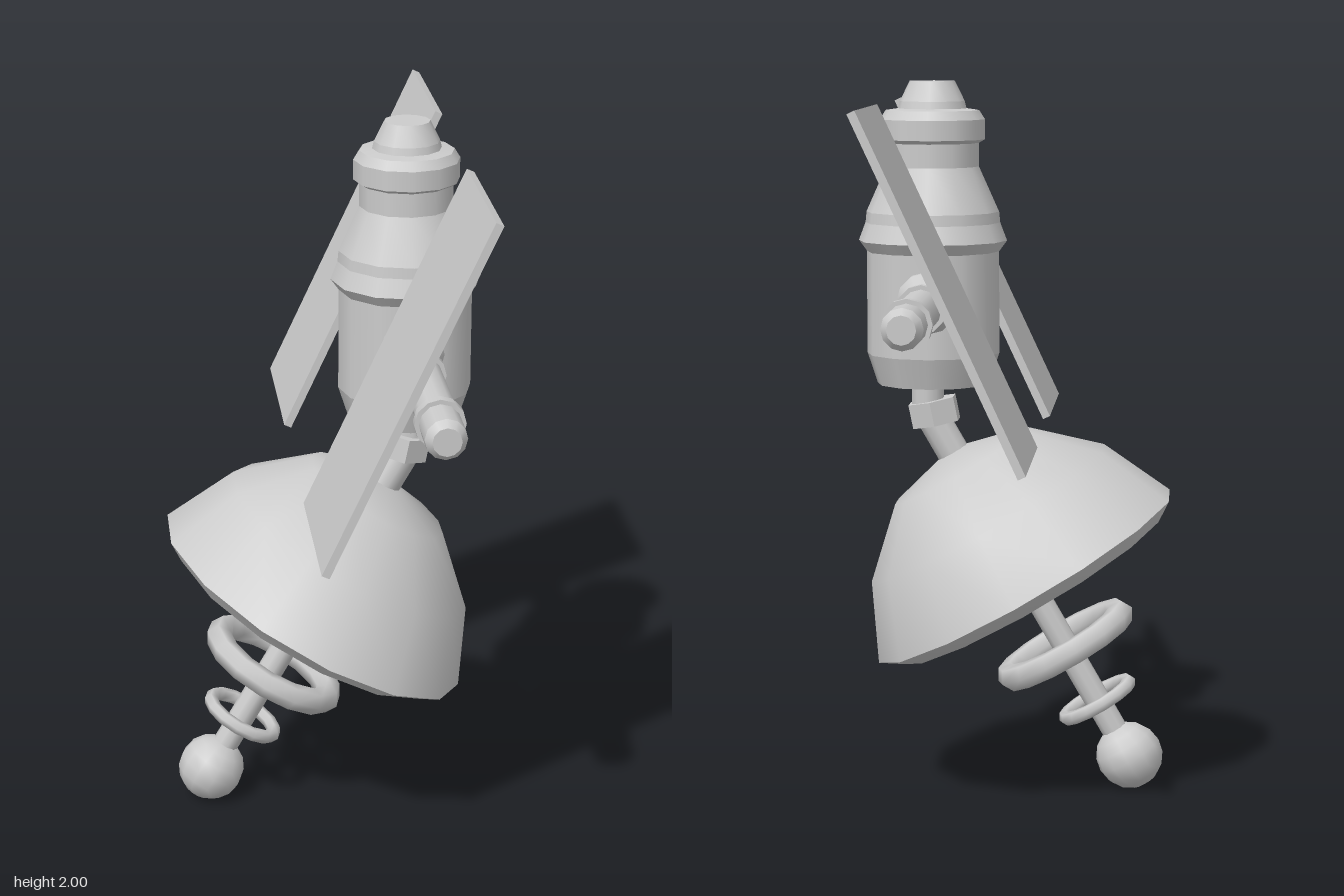
import * as THREE from 'three';
import { toCreasedNormals, mergeGeometries } from 'three/addons/utils/BufferGeometryUtils.js';

const grey = new THREE.MeshStandardMaterial({ color: 0xcccccc });

function part(name, geometry, parent) {
  const mesh = new THREE.Mesh(geometry, grey);
  mesh.name = name;
  parent.add(mesh);
  return mesh;
}

// Profile points are [radius, height], running so the outside lies to the right
function lathe(points, sides) {
  return new THREE.LatheGeometry(points.map(([r, y]) => new THREE.Vector2(r, y)), sides);
}

// Lathe that is smooth around but has a hard edge at every profile point
function bandedLathe(points, sides) {
  return mergeGeometries(points.slice(1).map((p, i) => lathe([points[i], p], sides)));
}

export function createModel() {
  const model = new THREE.Group();
  model.name = 'satellite';
  const axisX = 0.227;

  // Stepped body with flange, shoulder, neck ring and top cap
  part('body', bandedLathe([
    [0, 1.16], [0.157, 1.16], [0.185, 1.245], [0.185, 1.53], [0.207, 1.56],
    [0.188, 1.61], [0.185, 1.64], [0.129, 1.765], [0.129, 1.83], [0.146, 1.84],
    [0.146, 1.895], [0.13, 1.92], [0.095, 1.925], [0.09, 1.945], [0.063, 2], [0, 2],
  ], 12), model).position.x = axisX;

  // Arms with a flared root, two collars and a chamfered tip; a panel beside each
  for (const side of [1, -1]) {
    const name = side > 0 ? 'front' : 'back';
    const arm = new THREE.Group();
    arm.name = name + 'Arm';
    arm.position.set(axisX - 0.003, 1.403, 0);
    arm.rotation.x = side * Math.PI / 2;
    model.add(arm);
    part(name + 'ArmTube', bandedLathe([
      [0.085, 0.14], [0.085, 0.208], [0.055, 0.26], [0.055, 0.855], [0.038, 0.878], [0, 0.878],
    ], 12), arm);
    for (const y of [0.363, 0.733])
      part(name + 'ArmCollar', new THREE.CylinderGeometry(0.067, 0.067, 0.03, 12), arm).position.y = y;

    const panel = part(name + 'Panel', new THREE.BoxGeometry(0.022, 1.015, 0.503), model);
    panel.position.set(0.141, 1.481, side * 0.557);
    panel.rotation.z = -0.436;
  }

  // Neck stub and hexagonal joint between body and dish
  part('neck', new THREE.CylinderGeometry(0.046, 0.046, 0.13, 10), model).position.set(0.244, 1.125, 0.013);
  const joint = part('neckJoint', toCreasedNormals(new THREE.CylinderGeometry(0.074, 0.074, 0.068, 6), 0.6), model);
  joint.position.set(0.226, 1.077, 0.013);
  joint.rotation.z = -0.2;

  // Tilted dish assembly, built along its own upright axis
  const dish = new THREE.Group();
  dish.name = 'dishAssembly';
  dish.position.set(-0.03, 0.61, 0.013);
  dish.rotation.z = -Math.PI / 6;
  model.add(dish);

  part('dish', toCreasedNormals(lathe([
    [0, 0.375], [0.19, 0.325], [0.335, 0.175], [0.425, -0.037],
    [0.48, 0], [0.382, 0.208], [0.215, 0.363], [0, 0.42],
  ], 14), 0.8), dish);
  part('dishMount', new THREE.CylinderGeometry(0.046, 0.046, 0.15, 10), dish).position.y = 0.46;
  part('feedRod', new THREE.CylinderGeometry(0.037, 0.037, 0.98, 10), dish).position.y = -0.09;

  // Two rings around the rod and the ball at its end
  for (const [name, radius, tube, y] of [
    ['largeRing', 0.181, 0.038, -0.227], ['smallRing', 0.104, 0.02, -0.41],
  ]) {
    const ring = part(name, new THREE.TorusGeometry(radius, tube, 6, 14), dish);
    ring.rotation.x = Math.PI / 2;
    ring.position.y = y;
  }
  part('ball', new THREE.SphereGeometry(0.095, 12, 8), dish).position.y = -0.595;

  return model;
}
